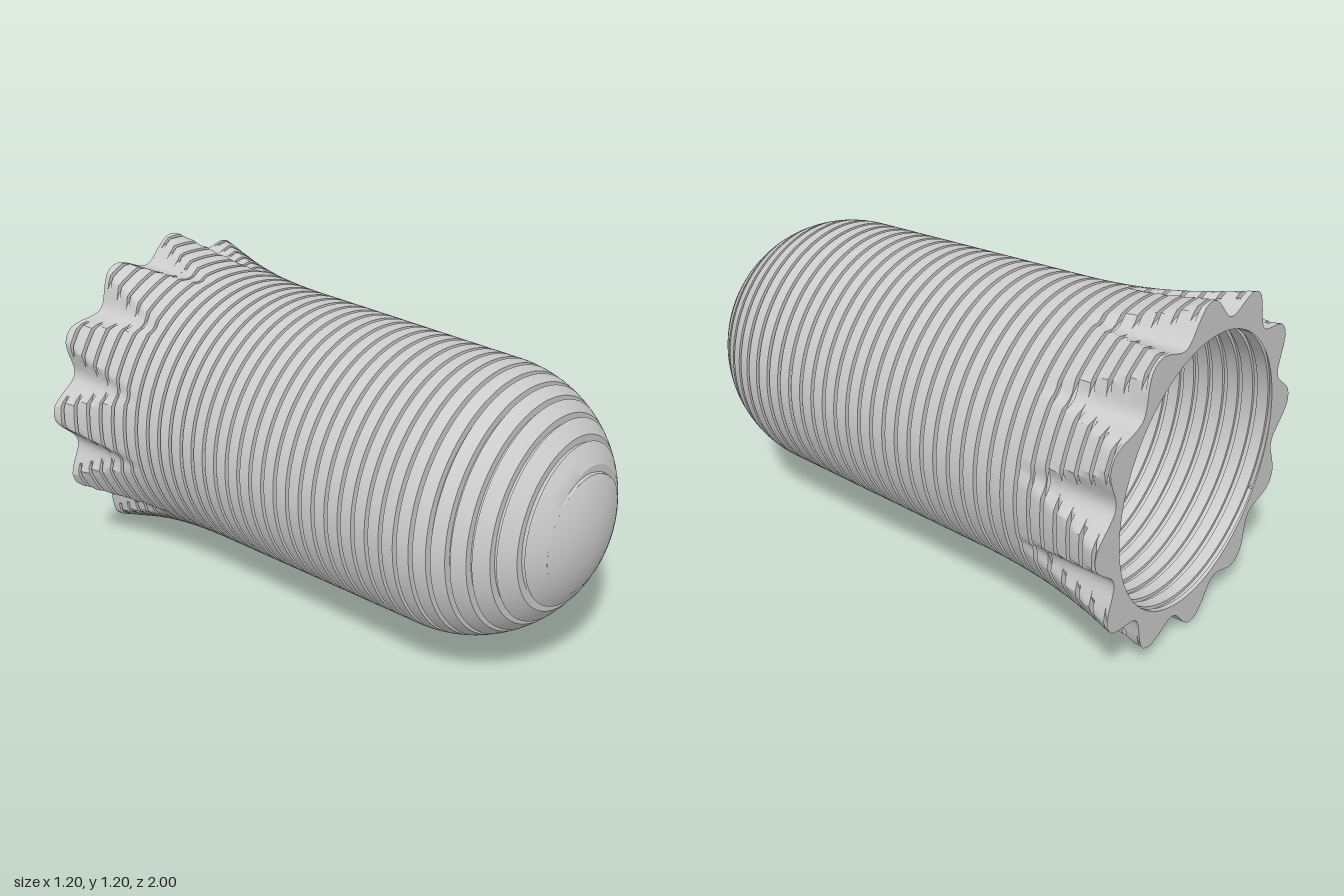
import * as THREE from 'three';
import { toCreasedNormals } from 'three/addons/utils/BufferGeometryUtils.js';

const AXIS_Y = 0.605, PITCH = 0.0567, Z_START = 0.945, TURNS = 36, SEG = 168;
const WALL = 0.04, TAU = Math.PI * 2;
const material = new THREE.MeshStandardMaterial({ color: 0xcccccc, side: THREE.DoubleSide });
const clamp = THREE.MathUtils.clamp;

// Plain body radius: rounded nose, slight taper
function bodyRadius(z, inset) {
  const tube = 0.478 + 0.026 * clamp((0.525 - z) / 1.2, 0, 1.3) - inset;
  const t = clamp((z - 0.525) / (0.475 - inset), 0, 1);
  return tube * Math.sqrt(1 - t * t);
}

// Outer radius: body, flared rim, helical groove and twelve scallops
function outerRadius(theta, z, groove) {
  const f = clamp((-0.35 - z) / 0.65, 0, 1);
  const flared = bodyRadius(z, 0) + 0.087 * Math.pow(f, 2.4);
  const fade = clamp((0.952 - z) / 0.01, 0, 1) * (z < -0.995 ? 0 : 1);
  const scallop = 0.557 + 0.044 * Math.cos(12 * (theta + 0.06));
  return Math.min(flared - 0.025 * groove * fade, scallop);
}

function innerRadius(theta, z, groove) {
  const fade = clamp((0.9 - z) / 0.02, 0, 1) * (z < -0.995 ? 0 : 1);
  return bodyRadius(z, WALL) + 0.012 * groove * fade;
}

// Oval holes underneath
const holes = [[-25, 0.46], [25, 0.46], [0, 0.12]].map(([deg, z]) => ({
  theta: Math.PI * 1.5 + THREE.MathUtils.degToRad(deg), z, a: 0.09 / 0.478, b: 0.12,
}));

const toPoint = (theta, z, r) => [r * Math.cos(theta), r * Math.sin(theta), z];

// Wall whose rows follow the helix; steps are [fraction of a turn, groove depth]
function helicalWall(radius, steps, zTop) {
  const rows = [];
  for (let k = -1; k < TURNS; k++) for (const [v, g] of steps) rows.push([k + v, g]);
  const verts = rows.map(([turn, g]) => {
    const row = [];
    for (let i = 0; i <= SEG; i++) {
      const theta = (i / SEG) * TAU;
      const z = clamp(Z_START + PITCH * (i / SEG - turn), -1, zTop);
      let hole = null, q = 1;
      for (const h of holes) {
        const d = Math.hypot((theta - h.theta) / h.a, (z - h.z) / h.b);
        if (d < 1) { hole = h; q = Math.max(d, 1e-4); }
      }
      row.push({ theta, z, g, hole, q });
    }
    return row;
  });
  // Vertices just inside a hole slide out to its edge
  const place = (p) => {
    let { theta, z } = p;
    if (p.hole) {
      theta = p.hole.theta + (theta - p.hole.theta) / p.q;
      z = p.hole.z + (z - p.hole.z) / p.q;
    }
    return toPoint(theta, z, radius(theta, z, p.g));
  };
  const out = [];
  const tri = (a, b, c) => {
    if (a.hole && b.hole && c.hole) return;
    if (a.z === b.z && b.z === c.z && (a.z === zTop || a.z === -1)) return;
    out.push(...place(a), ...place(b), ...place(c));
  };
  for (let j = 0; j < rows.length - 1; j++) {
    for (let i = 0; i < SEG; i++) {
      const a = verts[j][i], b = verts[j][i + 1], c = verts[j + 1][i], d = verts[j + 1][i + 1];
      if (radius === outerRadius) { tri(a, c, b); tri(b, c, d); }
      else { tri(a, b, c); tri(b, d, c); }
    }
  }
  const geo = new THREE.BufferGeometry();
  geo.setAttribute('position', new THREE.Float32BufferAttribute(out, 3));
  return toCreasedNormals(geo, Math.PI / 6);
}

// Smooth round cap closing the nose above zBase
function noseCap(inset, zBase) {
  const height = 0.475 - inset, pts = [];
  const start = Math.asin((zBase - 0.525) / height);
  for (let i = 0; i <= 10; i++) {
    const t = start + (Math.PI / 2 - start) * (i / 10);
    const z = 0.525 + height * Math.sin(t);
    pts.push(new THREE.Vector2(i === 10 ? 0 : bodyRadius(z, inset), z));
  }
  return new THREE.LatheGeometry(pts, 84).rotateX(Math.PI / 2);
}

// Flat scalloped ring at the open end
function rimFace() {
  const loop = (radius) => Array.from({ length: SEG }, (_, i) => {
    const t = (i / SEG) * TAU, r = radius(t, -1, 0);
    return new THREE.Vector2(-r * Math.cos(t), r * Math.sin(t));
  });
  const shape = new THREE.Shape(loop(outerRadius));
  shape.holes.push(new THREE.Path(loop(innerRadius)));
  return new THREE.ShapeGeometry(shape).rotateY(Math.PI).translate(0, 0, -1);
}

// Side wall of a hole, through the shell
function holeWall(h) {
  const pos = [], index = [], n = 40;
  for (let i = 0; i <= n; i++) {
    const t = (i / n) * TAU;
    const theta = h.theta + h.a * Math.cos(t), z = h.z + h.b * Math.sin(t);
    pos.push(...toPoint(theta, z, outerRadius(theta, z, 0)));
    pos.push(...toPoint(theta, z, innerRadius(theta, z, 0)));
    if (i < n) {
      const a = i * 2;
      index.push(a, a + 2, a + 1, a + 1, a + 2, a + 3);
    }
  }
  const geo = new THREE.BufferGeometry();
  geo.setAttribute('position', new THREE.Float32BufferAttribute(pos, 3));
  geo.setIndex(index);
  geo.computeVertexNormals();
  return geo;
}

export function createModel() {
  const group = new THREE.Group();
  group.name = 'groovedSleeve';
  const add = (name, geometry) => {
    const mesh = new THREE.Mesh(geometry, material);
    mesh.name = name;
    mesh.position.y = AXIS_Y;
    group.add(mesh);
  };
  add('outerGroovedWall', helicalWall(outerRadius,
    [[0, 0], [0, 1], [0.25, 1], [0.25, 0], [0.62, 0]], 0.955));
  add('innerGroovedWall', helicalWall(innerRadius,
    [[0.5, 0], [0.5, 1], [0.8, 1], [0.8, 0]], 0.91));
  add('outerNose', noseCap(0, 0.955));
  add('innerNose', noseCap(WALL, 0.91));
  add('scallopedRim', rimFace());
  holes.forEach((h, i) => add('holeWall' + (i + 1), holeWall(h)));
  return group;
}
